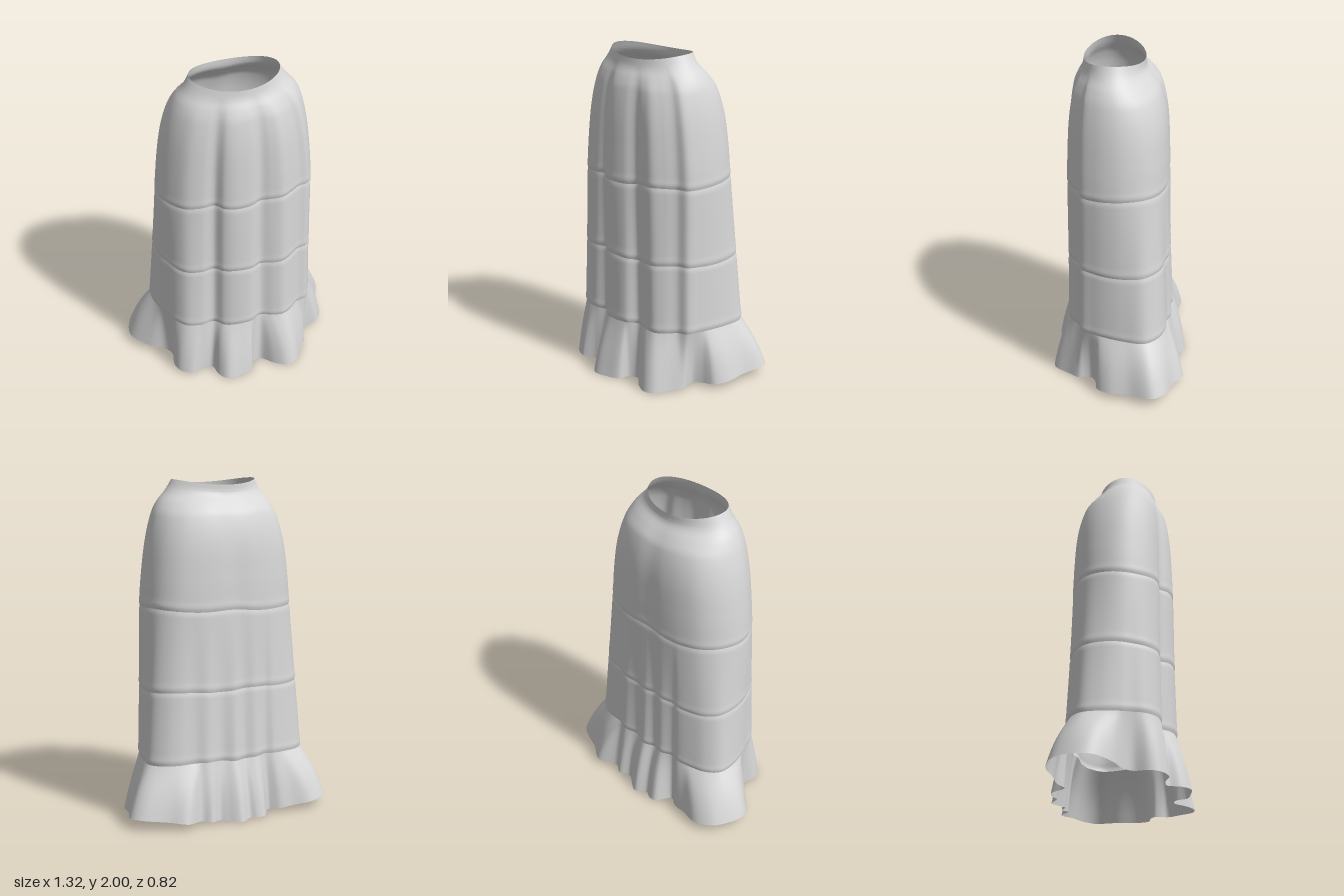
import * as THREE from 'three';

const COLUMNS = 288;

// Closed outlines seen from above, as x, z pairs
const HEM = [
  0.02, -0.41, 0.1, -0.365, 0.14, -0.345, 0.2, -0.375, 0.26, -0.345, 0.37, -0.4, 0.47, -0.345,
  0.62, -0.285, 0.66, -0.22, 0.61, -0.08, 0.585, 0.05, 0.53, 0.12, 0.46, 0.13, 0.4, 0.16,
  0.395, 0.2, 0.4, 0.24, 0.35, 0.31, 0.28, 0.395, 0.22, 0.405, 0.15, 0.365, 0.08, 0.295,
  0.025, 0.31, 0, 0.37, -0.08, 0.395, -0.17, 0.4, -0.215, 0.35, -0.235, 0.27, -0.3, 0.265,
  -0.37, 0.29, -0.44, 0.25, -0.46, 0.19, -0.445, 0.1, -0.475, 0.045, -0.56, 0, -0.65, -0.1,
  -0.66, -0.17, -0.6, -0.31, -0.53, -0.36, -0.46, -0.375, -0.36, -0.35, -0.27, -0.34,
  -0.21, -0.305, -0.14, -0.39, -0.09, -0.39, -0.05, -0.37,
];
const KNEE = [
  0.02, -0.325, 0.1, -0.3, 0.2, -0.318, 0.27, -0.295, 0.37, -0.285, 0.45, -0.25, 0.515, -0.17,
  0.505, -0.04, 0.475, 0.08, 0.445, 0.15, 0.405, 0.22, 0.345, 0.235, 0.28, 0.285, 0.22, 0.312,
  0.16, 0.305, 0.08, 0.28, 0.01, 0.32, -0.1, 0.315, -0.16, 0.29, -0.21, 0.238, -0.29, 0.25,
  -0.38, 0.23, -0.435, 0.17, -0.465, 0.09, -0.49, 0.03, -0.515, -0.08, -0.505, -0.18,
  -0.44, -0.245, -0.35, -0.28, -0.25, -0.3, -0.2, -0.288, -0.12, -0.315, -0.05, -0.302,
];
const HIP = [
  0, -0.288, 0.12, -0.292, 0.25, -0.272, 0.36, -0.225, 0.43, -0.15, 0.465, -0.04, 0.46, 0.05,
  0.435, 0.13, 0.39, 0.205, 0.33, 0.22, 0.27, 0.26, 0.2, 0.297, 0.13, 0.292, 0.07, 0.278,
  0, 0.302, -0.1, 0.305, -0.155, 0.285, -0.2, 0.236, -0.27, 0.235, -0.36, 0.205, -0.42, 0.14,
  -0.465, 0.05, -0.472, -0.04, -0.435, -0.145, -0.36, -0.225, -0.25, -0.272, -0.12, -0.292,
];

// Body profile: y, half width, front z, back z, outline (2 knee, 1 hip, 0 ellipse)
const PROFILE = [
  [0.36, 0.515, 0.32, -0.32, 2],
  [0.78, 0.495, 0.312, -0.305, 1.6],
  [1.25, 0.474, 0.308, -0.295, 1.05],
  [1.45, 0.458, 0.304, -0.29, 0.97],
  [1.65, 0.43, 0.295, -0.275, 0.85],
  [1.8, 0.39, 0.275, -0.238, 0.65],
  [1.87, 0.352, 0.252, -0.192, 0.4],
  [1.92, 0.306, 0.229, -0.152, 0.12],
  [1.95, 0.284, 0.221, -0.143, 0],
  [1.985, 0.263, 0.216, -0.141, 0],
];
const SEAMS = [0.36, 0.78, 1.25];

// Outline as a radius for each column angle
function polarRadii(flat) {
  const points = [];
  for (let i = 0; i < flat.length; i += 2) points.push(new THREE.Vector3(flat[i], 0, flat[i + 1]));
  const samples = new THREE.CatmullRomCurve3(points, true, 'centripetal').getPoints(700);
  return Array.from({ length: COLUMNS }, (_, c) => {
    const a = (c / COLUMNS) * Math.PI * 2, s = Math.sin(a), k = Math.cos(a);
    let best = 0;
    for (let i = 0; i < samples.length - 1; i++) {
      const p = samples[i], q = samples[i + 1];
      const d0 = p.x * k - p.z * s, d1 = q.x * k - q.z * s;
      if (d0 * d1 > 0 || d0 === d1) continue;
      const t = d0 / (d0 - d1);
      best = Math.max(best, (p.x + (q.x - p.x) * t) * s + (p.z + (q.z - p.z) * t) * k);
    }
    return best;
  });
}

// Smooth lookup in the body profile
function profileAt(y) {
  let i = 0;
  while (i < PROFILE.length - 2 && y > PROFILE[i + 1][0]) i++;
  const a = PROFILE[i], b = PROFILE[i + 1];
  const before = PROFILE[Math.max(i - 1, 0)], after = PROFILE[Math.min(i + 2, PROFILE.length - 1)];
  const h = b[0] - a[0], t = THREE.MathUtils.clamp((y - a[0]) / h, 0, 1);
  return a.map((v, j) => {
    const m0 = ((b[j] - before[j]) / (b[0] - before[0])) * h;
    const m1 = ((after[j] - v) / (after[0] - a[0])) * h;
    return v * (1 + 2 * t) * (1 - t) ** 2 + m0 * t * (1 - t) ** 2
      + b[j] * t * t * (3 - 2 * t) + m1 * t * t * (t - 1);
  });
}

// Sheet of cloth wrapped around the body, rows running upward
function loft(rows, pointAt) {
  const positions = [], indices = [];
  for (let r = 0; r <= rows; r++)
    for (let c = 0; c < COLUMNS; c++) positions.push(...pointAt(c, r / rows));
  for (let r = 0; r < rows; r++)
    for (let c = 0; c < COLUMNS; c++) {
      const n = (c + 1) % COLUMNS;
      const a = r * COLUMNS + c, b = r * COLUMNS + n;
      indices.push(a, b, b + COLUMNS, a, b + COLUMNS, a + COLUMNS);
    }
  const geometry = new THREE.BufferGeometry();
  geometry.setAttribute('position', new THREE.Float32BufferAttribute(positions, 3));
  geometry.setIndex(indices);
  geometry.computeVertexNormals();
  return geometry;
}

export function createModel() {
  const group = new THREE.Group();
  group.name = 'skirt';
  const cloth = new THREE.MeshStandardMaterial({ color: 0xd8d8d8, side: THREE.DoubleSide });
  cloth.name = 'pale grey cloth';
  const hem = polarRadii(HEM), knee = polarRadii(KNEE), hip = polarRadii(HIP);
  const { lerp, clamp, smoothstep } = THREE.MathUtils;

  // Point on the fitted body, with a shallow groove at each seam
  function bodyPoint(c, y) {
    const a = (c / COLUMNS) * Math.PI * 2, s = Math.sin(a), k = Math.cos(a);
    const [, halfWidth, front, back, outline] = profileAt(y);
    const halfDepth = (front - back) / 2, middle = (front + back) / 2;
    // Matching direction on a plain ellipse
    const length = Math.hypot(s / 0.515, k / 0.32);
    const ex = s / 0.515 / length, ez = k / 0.32 / length;
    // Blend ellipse to hip outline to knee outline
    const toHip = clamp(outline, 0, 1), toKnee = clamp(outline - 1, 0, 1);
    const ux = lerp(lerp(ex, (hip[c] * s) / 0.472, toHip), (knee[c] * s) / 0.515, toKnee);
    const uz = lerp(lerp(ez, (hip[c] * k) / 0.3, toHip), (knee[c] * k) / 0.32, toKnee);
    let puff = 0;
    for (const seam of SEAMS) {
      const d = y - seam;
      puff += 0.002 * Math.exp(-(((d - 0.025) / 0.02) ** 2)) - 0.005 * Math.exp(-((d / 0.012) ** 2));
    }
    const top = smoothstep(y, 1.8, 1.985);
    const tilt = 0.012 * ex * Math.exp(-(((y - 1.25) / 0.25) ** 2));
    const ripple = 0.005 * Math.sin(5 * a + y * 4) * (1 - top);
    return [
      ux * halfWidth + ex * puff - 0.008 * top,
      y + tilt + ripple + top * 0.015 * (ex * ex - ez * ez),
      uz * halfDepth + middle + ez * puff,
    ];
  }

  // Four stacked tiers of the body
  const tiers = [
    ['lowerTier', 0.36, 0.78, 36],
    ['middleTier', 0.78, 1.25, 36],
    ['upperTier', 1.25, 1.94, 52],
    ['waistband', 1.94, 1.985, 6],
  ];
  for (const [name, bottom, top, rows] of tiers) {
    const mesh = new THREE.Mesh(loft(rows, (c, t) => bodyPoint(c, lerp(bottom, top, t))), cloth);
    mesh.name = name;
    group.add(mesh);
  }

  // Flared ruffle, higher at the sides than at front and back
  const ruffle = new THREE.Mesh(loft(24, (c, t) => {
    const a = (c / COLUMNS) * Math.PI * 2;
    const [x0, y0, z0] = bodyPoint(c, 0.36);
    const x1 = hem[c] * Math.sin(a), z1 = hem[c] * Math.cos(a);
    const side = Math.min(1, Math.abs(x1) / 0.64);
    const y1 = 0.003 + 0.048 * side ** 1.5 - 0.06 * z1 * side;
    const drop = 1 - t;
    const flare = drop + 0.1 * Math.sin(drop * Math.PI);
    return [lerp(x0, x1, flare), lerp(y0, y1, drop), lerp(z0, z1, flare)];
  }), cloth);
  ruffle.name = 'hemRuffle';
  group.add(ruffle);
  return group;
}
